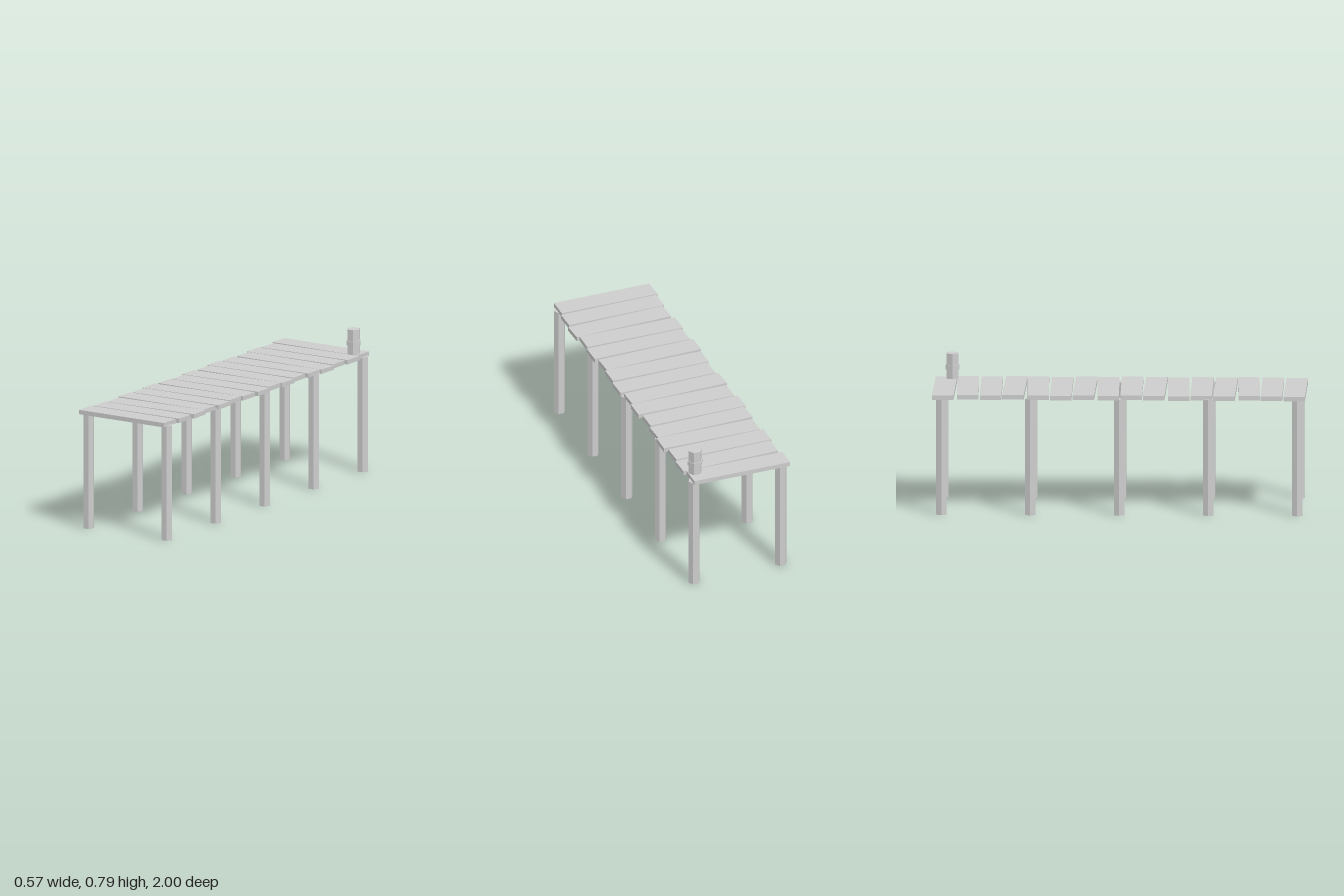
import * as THREE from 'three';

export function createModel() {
  const model = new THREE.Group();
  model.name = 'dock';
  const wood = new THREE.MeshStandardMaterial({ color: 0xcccccc, flatShading: true });
  wood.name = 'grey wood';

  // Six-sided upright with corners pointing along x
  function hexPost(name, radius, bottom, top, x, z) {
    const geometry = new THREE.CylinderGeometry(radius, radius, top - bottom, 6, 1, false, Math.PI / 6);
    const mesh = new THREE.Mesh(geometry, wood);
    mesh.name = name;
    mesh.position.set(x, (bottom + top) / 2, z);
    model.add(mesh);
  }

  // Deck planks, each slightly shifted sideways and skewed
  const skew = [2, -1.2, -0.3, 2, -1.5, 0, 1.7, -1.8, -0.3, 1.4, -2, 0, 1.3, -2.2, 0, 1.3];
  const plankGeometry = new THREE.BoxGeometry(0.548, 0.024, 0.115);
  skew.forEach((s, i) => {
    const plank = new THREE.Mesh(plankGeometry, wood);
    plank.name = `plank${i + 1}`;
    plank.position.set((((i * 3) % 5) - 2) * 0.0053, 0.638, -0.9375 + i * 0.125);
    plank.rotation.y = -s / 104;
    model.add(plank);
  });

  // Five pairs of supporting legs
  for (let i = 0; i < 5; i++) {
    for (const side of [-1, 1]) {
      hexPost(`${side > 0 ? 'left' : 'right'}Leg${i + 1}`, 0.032, 0, 0.63, side * 0.25, -0.95 + i * 0.475);
    }
  }

  // Mooring post with its collar at the back corner
  hexPost('mooringPost', 0.037, 0.645, 0.787, 0.224, -0.9);
  hexPost('mooringCollar', 0.0425, 0.701, 0.725, 0.224, -0.9);

  return model;
}
